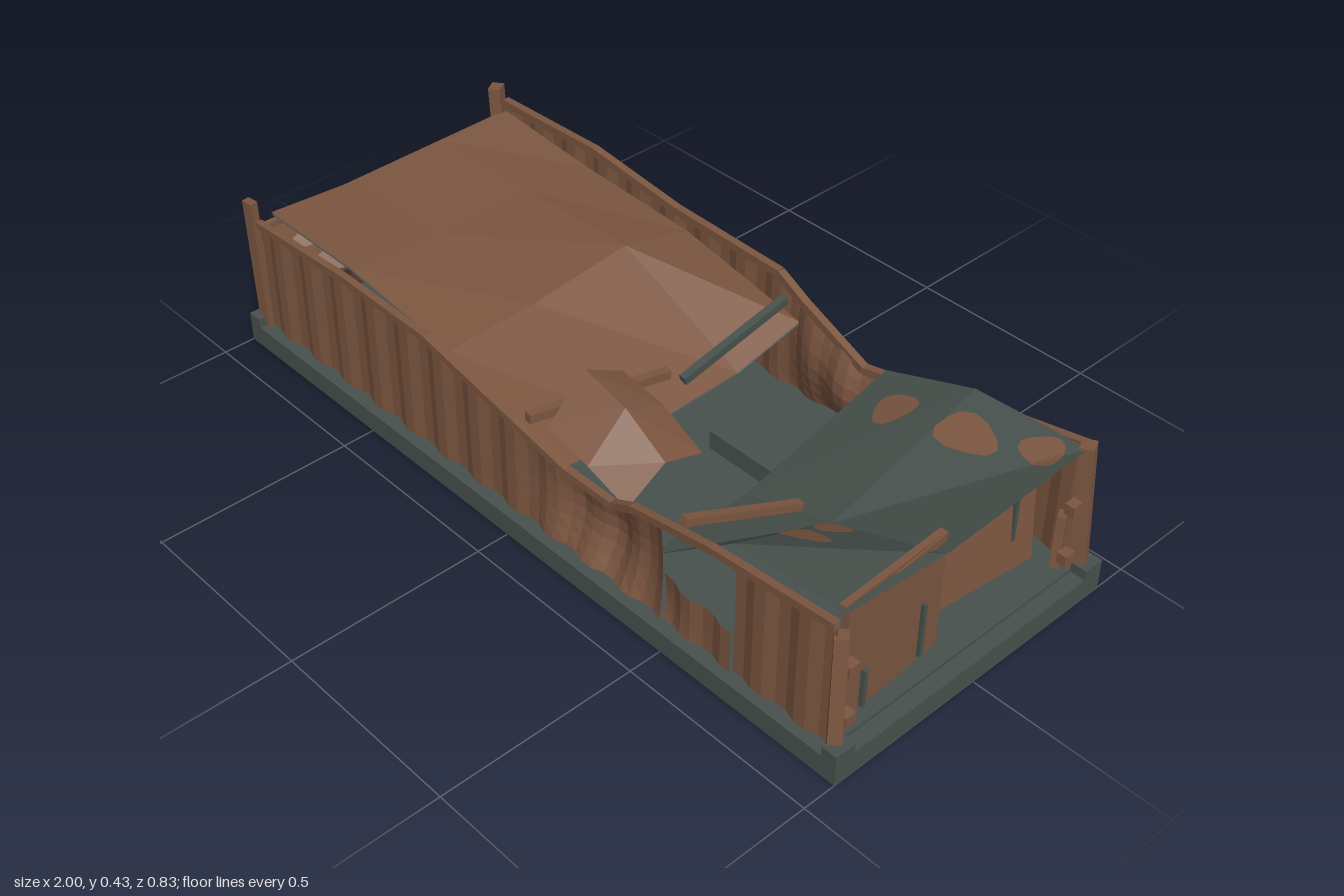
import * as THREE from 'three';

const mat = (name, color) => {
  const m = new THREE.MeshStandardMaterial({ color, side: THREE.DoubleSide });
  m.name = name;
  return m;
};

// Piecewise-linear lookup through [x, y] points
function lerpPath(pts, x) {
  for (let i = 1; i < pts.length; i++) {
    const [x0, y0] = pts[i - 1], [x1, y1] = pts[i];
    if (x <= x1) return y0 + (y1 - y0) * Math.max(0, (x - x0) / (x1 - x0));
  }
  return pts[pts.length - 1][1];
}

// Flat-shaded grid surface; at(i, j) returns a point
function surface(nu, nv, at) {
  const pos = [], put = (...ps) => ps.forEach(p => pos.push(...p));
  for (let i = 0; i < nu; i++) for (let j = 0; j < nv; j++) {
    const a = at(i, j), b = at(i, j + 1), c = at(i + 1, j + 1), d = at(i + 1, j);
    put(a, b, d, b, c, d);
  }
  const g = new THREE.BufferGeometry();
  g.setAttribute('position', new THREE.Float32BufferAttribute(pos, 3));
  g.computeVertexNormals();
  return g;
}

// Height on a bent sheet, using the same triangles as its surface
function sheetHeight(s, x, z) {
  const cell = (arr, v) => {
    let i = 0;
    while (i < arr.length - 2 && v > arr[i + 1]) i++;
    return [i, (v - arr[i]) / (arr[i + 1] - arr[i])];
  };
  const [i, fx] = cell(s.xs, x), [j, fz] = cell(s.zs, z);
  const a = s.ys[i][j], b = s.ys[i][j + 1], c = s.ys[i + 1][j + 1], d = s.ys[i + 1][j];
  return fx + fz < 1 ? a + (d - a) * fx + (b - a) * fz
    : c + (b - c) * (1 - fx) + (d - c) * (1 - fz);
}

export function createModel() {
  const model = new THREE.Group();
  model.name = 'crushedContainer';
  const rust = mat('rust', 0x7c5640);
  const slate = mat('slate', 0x48514d);

  const add = (name, geo, m) => {
    const mesh = new THREE.Mesh(geo, m);
    mesh.name = name;
    model.add(mesh);
    return mesh;
  };
  const box = (name, m, w, h, d, x, y, z) => {
    const b = add(name, new THREE.BoxGeometry(w, h, d), m);
    b.position.set(x, y, z);
    return b;
  };
  // Square bar between two points
  const beam = (name, m, a, b, w, d = w) => {
    const A = new THREE.Vector3(...a), B = new THREE.Vector3(...b);
    const bar = add(name, new THREE.BoxGeometry(w, d, A.distanceTo(B)), m);
    bar.position.copy(A).add(B).multiplyScalar(0.5);
    bar.lookAt(B);
  };
  const bentRail = (name, pts, w) => {
    for (let i = 1; i < pts.length; i++) beam(name, rust, pts[i - 1], pts[i], w);
  };
  const sheet = (name, m, s, drop = 0) =>
    add(name, surface(s.xs.length - 1, s.zs.length - 1,
      (i, j) => [s.xs[i], s.ys[i][j] - drop, s.zs[j]]), m);

  // Base frame, floor and corner blocks
  box('floor', slate, 1.94, 0.045, 0.78, 0, 0.0325, 0);
  for (const s of [-1, 1]) {
    box('sideSill', slate, 2, 0.055, 0.05, 0, 0.0275, s * 0.391);
    box('endSill', slate, 0.04, 0.055, 0.74, s * 0.98, 0.0275, 0);
    box('endLip', slate, 0.015, 0.01, 0.72, s * 0.955, 0.059, 0);
    for (const t of [-1, 1])
      box('cornerBlock', slate, 0.04, 0.08, 0.055, s * 0.98, 0.04, t * 0.3885);
  }

  // Corner posts, each leaning slightly: foot x, z, height, top x, z, depth
  const posts = [[-0.96, -0.385, 0.43, -0.975, -0.376, 0.036], [-0.965, 0.388, 0.41, -0.975, 0.389, 0.02],
    [0.965, 0.385, 0.347, 0.95, 0.37, 0.03], [0.965, -0.385, 0.39, 0.945, -0.376, 0.036]];
  for (const [x, z, h, tx, tz, d] of posts)
    beam('cornerPost', rust, [x, 0.05, z], [tx, h, tz], d, 0.032);

  // Corrugated side walls with a buckled middle
  const frontTop = [[-0.95, 0.355], [-0.6, 0.375], [-0.3, 0.37], [0, 0.31], [0.16, 0.262],
    [0.3, 0.25], [0.37, 0.288], [0.62, 0.35], [0.95, 0.38]];
  const backTop = [[-0.95, 0.39], [-0.6, 0.4], [-0.3, 0.367], [0.05, 0.362], [0.14, 0.325],
    [0.34, 0.25], [0.42, 0.262], [0.66, 0.32], [0.95, 0.38]];
  const dent = x => Math.exp(-(((x - 0.28) / 0.16) ** 2));
  const wall = (name, side, xs, top) => {
    const rows = 6;
    add(name, surface(xs.length - 1, rows, (i, j) => {
      const x = xs[i], t = j / rows;
      const rib = [0, 0, 1, 1][i % 4] * 0.01;
      const buckle = dent(x) * (0.035 * Math.sin(t * Math.PI) + 0.022 * t);
      return [x, 0.056 + (top(x) - 0.056) * t, side * (0.381 + rib - buckle)];
    }), rust);
  };
  const stations = (a, b, n) => Array.from({ length: n + 1 }, (_, i) => a + ((b - a) * i) / n);
  // The front wall is torn open between x = 0.47 and x = 0.68
  const frontEdge = x => lerpPath(frontTop, x);
  wall('frontWall', 1, stations(-0.95, 0.47, 46), frontEdge);
  wall('frontWallTear', 1, stations(0.47, 0.68, 7), x => lerpPath([[0.47, 0.18], [0.68, 0.166]], x));
  wall('frontWallEnd', 1, stations(0.68, 0.95, 9), frontEdge);
  wall('backWall', -1, stations(-0.95, 0.95, 62), x => lerpPath(backTop, x));
  bentRail('frontTopRail', frontTop.map(([x, y]) => [x, y, 0.386 - 0.022 * dent(x)]), 0.018);
  bentRail('backTopRail', backTop.map(([x, y]) => [x, y, -0.386 + 0.022 * dent(x)]), 0.02);

  // Crumpled right end wall
  const endX = [-0.945, -0.91, -0.85, -0.89, -0.945];
  add('endWall', surface(4, 4, (i, j) => {
    const z = -0.37 + 0.185 * i, t = j / 4;
    const sag = i === 0 || i === 4 ? 0.4 : 1;
    return [-0.945 + (endX[j] + 0.945) * sag, 0.056 + t * 0.28, z];
  }), rust);
  beam('endTopRail', rust, [-0.952, 0.352, -0.38], [-0.952, 0.34, 0.38], 0.016);

  // Caved-in roof: rust outside, slate lining
  const roof = {
    xs: [-0.93, -0.61, -0.25, 0.13], zs: [-0.37, -0.17, 0.11, 0.36],
    ys: [[0.378, 0.37, 0.372, 0.387], [0.352, 0.372, 0.367, 0.385],
      [0.338, 0.386, 0.355, 0.345], [0.27, 0.225, 0.215, 0.24]],
  };
  sheet('roofPanel', rust, roof);
  sheet('roofLining', slate, roof, 0.006);

  // Torn roof sheet at the door end
  const torn = {
    xs: [0.4, 0.65, 0.95], zs: [-0.37, 0.07, 0.36],
    ys: [[0.28, 0.17, 0.17], [0.37, 0.25, 0.37], [0.385, 0.365, 0.393]],
  };
  sheet('tornRoofSheet', slate, torn);
  // Rust patches on both faces of the sheet
  const patches = [[0.52, -0.26, 0.048, 0.05], [0.72, -0.26, 0.075, 0.05], [0.88, -0.31, 0.05, 0.042],
    [0.68, 0.11, 0.052, 0.032], [0.69, 0.2, 0.065, 0.034]];
  patches.forEach(([cx, cz, rx, rz], k) => {
    for (const off of [0.004, -0.004]) add('rustPatch', surface(14, 5, (i, j) => {
      const a = ((i % 14) / 14) * Math.PI * 2, r = (j / 5) * (1 + 0.12 * Math.sin(a * 3 + k * 2));
      const x = cx + rx * r * Math.cos(a), z = cz - rz * r * Math.sin(a);
      return [x, sheetHeight(torn, x, z) + off, z];
    }), rust);
  });

  // Folded roof flap over the gap
  const flap = [[0.05, 0.33, 0.39, 0.29], [0.18, 0.31, 0.36, 0.26], [0.305, 0.25, 0.285, 0.22]];
  add('foldedFlap', surface(2, 2, (i, j) => [flap[i][0], flap[i][j + 1], 0.11 + 0.11 * j]), rust);

  // Floor hatch and fallen bars
  box('floorHatch', slate, 0.2, 0.05, 0.18, 0.235, 0.08, -0.17);
  beam('fallenSlateBar', slate, [0.09, 0.318, -0.36], [0.085, 0.245, -0.04], 0.02);
  beam('fallenRustBar', rust, [0.02, 0.315, 0.36], [0.08, 0.285, 0], 0.022);
  beam('fallenRustBar', rust, [0.505, 0.335, 0.36], [0.55, 0.23, 0.06], 0.02);
  beam('headerBar', rust, [0.93, 0.386, 0.35], [0.905, 0.368, 0.03], 0.016);
  beam('innerBrace', rust, [0.7, 0.18, 0.06], [0.72, 0.13, -0.04], 0.03);

  // Doors: a tall one nearly shut and a short one pushed inward
  const tall = box('tallDoor', rust, 0.016, 0.305, 0.31, 0.92, 0.2225, 0.185);
  tall.rotation.y = 0.07;
  const low = box('shortDoor', rust, 0.016, 0.215, 0.305, 0.855, 0.178, -0.168);
  low.rotation.set(0, -0.1, 0.08);
  const bars = [[0.94, 0.133, 0.28, 0.1], [0.925, 0.157, 0.093, 0.145], [0.87, 0.21, -0.258, 0.12]];
  for (const [x, y, z, h] of bars) box('lockBar', slate, 0.012, h, 0.01, x, y, z);

  // Hinges and bent jamb strips
  for (const s of [-1, 1]) {
    for (const y of [0.105, 0.243]) box('hinge', rust, 0.025, 0.028, 0.03, 0.955, y, s * 0.342);
    beam('jambStrip', rust, [0.93, 0.065, s * 0.345], [0.925, 0.2, s * 0.355], 0.02, 0.03);
  }
  return model;
}
